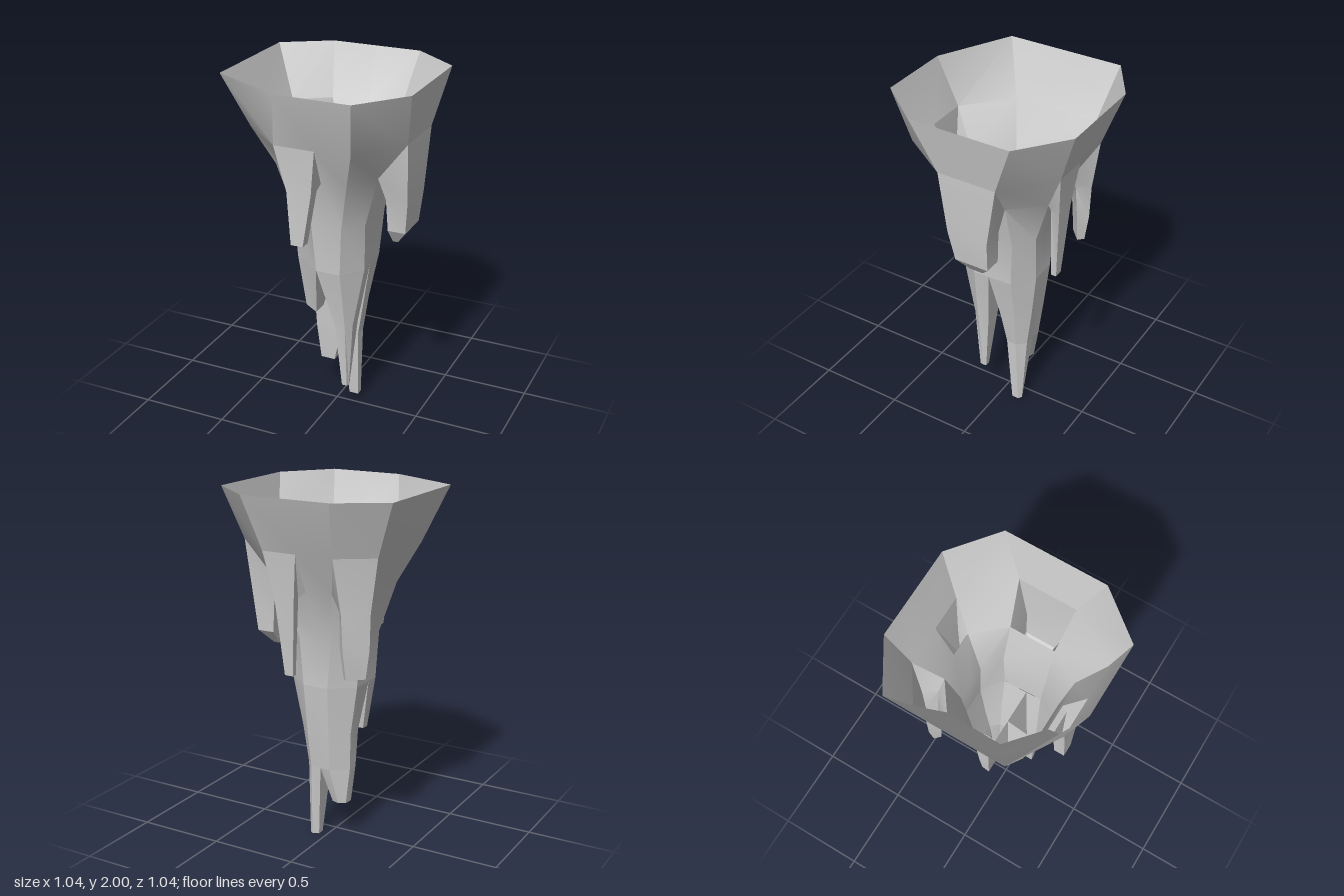
import * as THREE from 'three';
import { toCreasedNormals } from 'three/addons/utils/BufferGeometryUtils.js';

const material = new THREE.MeshStandardMaterial({ color: 0xcccccc, side: THREE.DoubleSide });

// A horizontal cross-section: height plus [x, z] corners.
const ring = (y, corners) => corners.map(([x, z]) => [x, y, z]);

// Skin closed cross-sections from top to bottom; openings lists 'row,column' cells left out.
function loft(name, rings, { cap = false, openings = [] } = {}) {
  const points = [];
  for (let r = 0; r < rings.length - 1; r++) {
    const hi = rings[r], lo = rings[r + 1], n = hi.length;
    for (let i = 0; i < n; i++) {
      if (openings.includes(`${r},${i}`)) continue;
      const j = (i + 1) % n;
      points.push(lo[i], hi[i], hi[j], lo[i], hi[j], lo[j]);
    }
  }
  if (cap) {
    const tip = rings[rings.length - 1];
    for (let i = 1; i < tip.length - 1; i++) points.push(tip[0], tip[i], tip[i + 1]);
  }
  const geometry = new THREE.BufferGeometry();
  geometry.setAttribute('position', new THREE.Float32BufferAttribute(points.flat(), 3));
  const mesh = new THREE.Mesh(toCreasedNormals(geometry, 0.4), material);
  mesh.name = name;
  return mesh;
}

export function createModel() {
  const group = new THREE.Group();
  group.name = 'stalactite';

  // Hollow flared body, open at the top
  const body = [
    ring(2, [[-0.26, -0.525], [0, -0.525], [0.26, -0.525], [0.52, -0.32], [0.52, 0.26],
      [0.31, 0.52], [0.1, 0.52], [-0.11, 0.52], [-0.525, 0.31], [-0.525, -0.36]]),
    ring(1.7, [[-0.22, -0.42], [0, -0.42], [0.2, -0.42], [0.46, -0.2], [0.46, 0.14],
      [0.27, 0.43], [0.07, 0.43], [-0.16, 0.43], [-0.41, 0.21], [-0.41, -0.29]]),
    ring(1.48, [[-0.14, -0.29], [0, -0.32], [0.14, -0.32], [0.29, -0.15], [0.29, 0.12],
      [0.19, 0.3], [0.05, 0.31], [-0.1, 0.31], [-0.3, 0.14], [-0.29, -0.18]]),
    ring(1.2, [[-0.1, -0.225], [0, -0.225], [0.1, -0.225], [0.22, -0.15], [0.22, 0.12],
      [0.135, 0.245], [0.05, 0.245], [-0.04, 0.245], [-0.215, 0.1], [-0.215, -0.13]]),
    ring(0.93, [[-0.07, -0.22], [0, -0.22], [0.08, -0.22], [0.2, -0.13], [0.21, 0.1],
      [0.12, 0.23], [0.05, 0.23], [-0.02, 0.23], [-0.2, 0.09], [-0.2, -0.12]]),
  ];

  // Side spikes grow out of openings in the body wall: column of the opening, then sections
  const spikes = [
    ['leftSpike', 3, [
      ring(1.35, [[0.45, -0.14], [0.45, 0.1], [0.32, 0.08], [0.32, -0.13]]),
      ring(1.17, [[0.43, -0.13], [0.43, 0.07], [0.33, 0.07], [0.33, -0.13]]),
      ring(1.09, [[0.37, -0.06], [0.37, 0.02], [0.34, 0.02], [0.34, -0.06]])]],
    ['backRightSpike', 9, [
      ring(1.4, [[-0.36, -0.27], [-0.24, -0.37], [-0.19, -0.3], [-0.3, -0.2]]),
      ring(1.2, [[-0.355, -0.27], [-0.245, -0.36], [-0.2, -0.31], [-0.31, -0.22]]),
      ring(1.04, [[-0.33, -0.265], [-0.25, -0.335], [-0.22, -0.305], [-0.3, -0.235]])]],
    ['backSpike', 1, [
      ring(1.45, [[0.03, -0.39], [0.15, -0.39], [0.13, -0.33], [0.04, -0.33]]),
      ring(1.02, [[0.06, -0.36], [0.11, -0.36], [0.11, -0.33], [0.06, -0.33]])]],
    ['frontSpike', 6, [
      ring(1.45, [[0.04, 0.41], [-0.1, 0.41], [-0.1, 0.34], [0.04, 0.34]]),
      ring(1.15, [[-0.01, 0.41], [-0.08, 0.41], [-0.08, 0.35], [-0.01, 0.35]])]],
  ];
  group.add(loft('body', body, { openings: spikes.map(([, c]) => `1,${c}`) }));
  for (const [name, c, sections] of spikes) {
    const d = (c + 1) % 10;
    const mouth = [body[1][c], body[1][d], body[2][d], body[2][c]];
    group.add(loft(name, [mouth, ...sections], { cap: true }));
  }

  // The lower end splits at a centre point into two front prongs and a back trunk
  const end = body[4], centre = [0, 0.93, 0.01], right = [-0.2, 0.93, 0.01], left = [0.205, 0.93, 0.01];
  group.add(loft('frontRightProng', [
    [end[7], end[8], right, centre],
    ring(0.63, [[-0.06, 0.15], [-0.15, 0.09], [-0.145, 0.05], [-0.06, 0.05]]),
  ], { cap: true }));
  group.add(loft('frontLeftProng', [
    [centre, left, end[4], end[5], end[7]],
    ring(0.57, [[0.05, 0.05], [0.15, 0.05], [0.15, 0.12], [0.12, 0.16], [0.06, 0.16]]),
    ring(0.18, [[0.09, 0.09], [0.12, 0.09], [0.125, 0.11], [0.12, 0.13], [0.09, 0.13]]),
  ], { cap: true }));

  // Back trunk, splitting again into two prongs
  const fork = ring(0.43, [[-0.145, -0.035], [-0.145, -0.1], [-0.05, -0.165], [0.01, -0.16],
    [0.07, -0.16], [0.115, -0.11], [0.11, -0.05], [0.01, -0.035]]);
  group.add(loft('backTrunk', [
    [right, end[9], end[0], end[1], end[2], end[3], left, centre],
    ring(0.65, [[-0.155, -0.025], [-0.155, -0.11], [-0.06, -0.19], [0.01, -0.19],
      [0.075, -0.19], [0.145, -0.12], [0.15, -0.03], [0.01, -0.025]]),
    fork,
  ]));
  group.add(loft('backRightProng', [
    [fork[0], fork[1], fork[2], fork[3], fork[7]],
    ring(0.22, [[-0.125, -0.05], [-0.12, -0.1], [-0.08, -0.12], [-0.04, -0.11], [-0.04, -0.05]]),
  ], { cap: true }));
  group.add(loft('backLeftProng', [
    [fork[7], fork[3], fork[4], fork[5], fork[6]],
    ring(0, [[0.045, -0.08], [0.045, -0.12], [0.08, -0.135], [0.1, -0.12], [0.1, -0.08]]),
  ], { cap: true }));

  return group;
}
